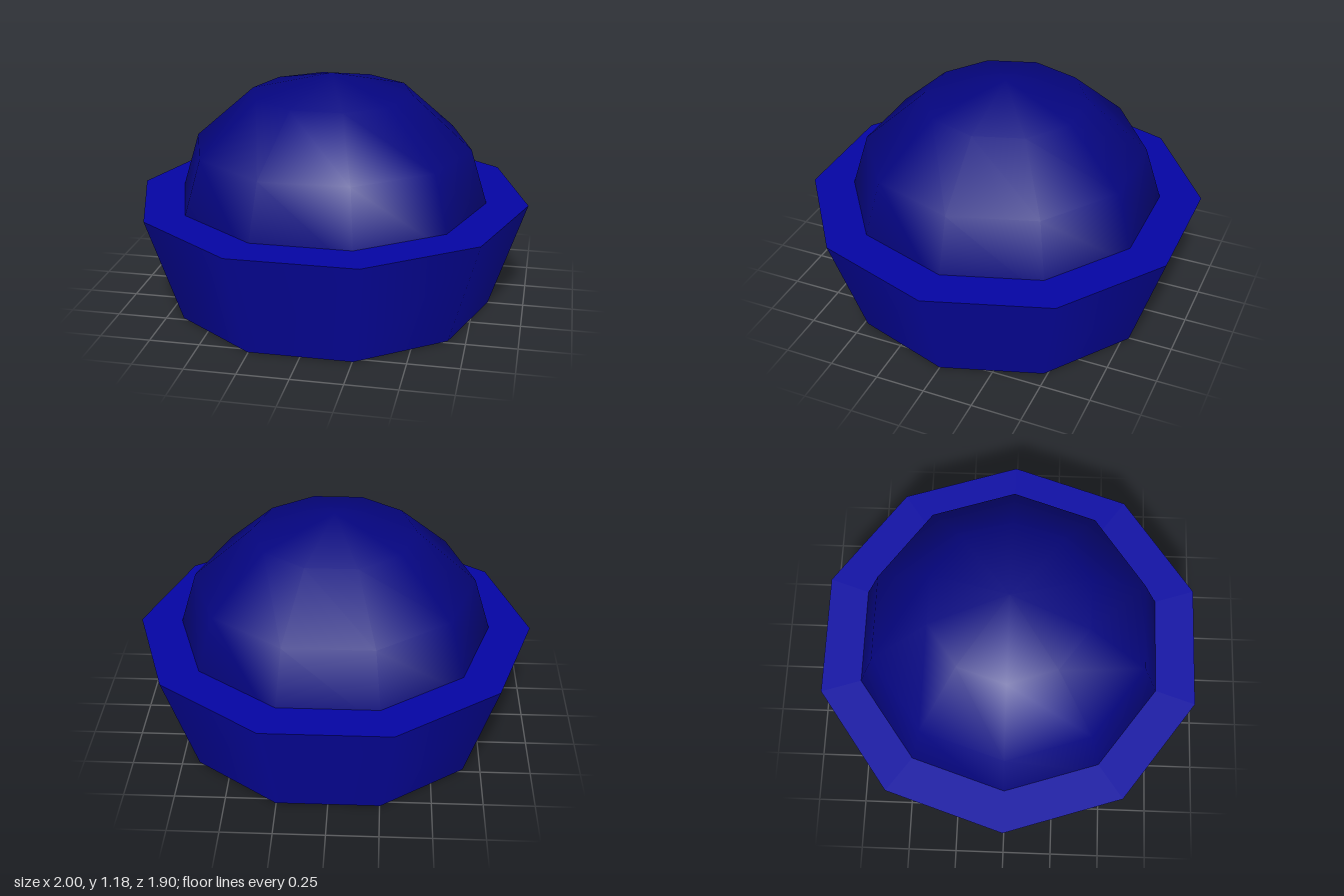
import * as THREE from 'three';

const SIDES = 10;
const BASE_HEIGHT = 0.545;

export function createModel() {
  const model = new THREE.Group();
  const baseBlue = new THREE.MeshStandardMaterial({ color: 0x0505a4 });
  baseBlue.name = 'base blue';
  const domeBlue = new THREE.MeshStandardMaterial({ color: 0x050580 });
  domeBlue.name = 'dome blue';

  // Flared ten-sided base, turned so that corners lie on the x axis
  const baseGeometry = new THREE.CylinderGeometry(1, 0.82, BASE_HEIGHT, SIDES);
  baseGeometry.rotateY(Math.PI / SIDES);
  const base = new THREE.Mesh(baseGeometry, baseBlue);
  base.name = 'base';
  base.position.y = BASE_HEIGHT / 2;
  model.add(base);

  // Flattened half dome, its rim sunk just below the top of the base
  const domeGeometry = new THREE.SphereGeometry(0.816, SIDES, 3, 0, Math.PI * 2, 0, Math.PI / 2);
  domeGeometry.scale(1, 0.72 / 0.816, 1);
  const dome = new THREE.Mesh(domeGeometry, domeBlue);
  dome.name = 'dome';
  dome.position.y = 0.46;
  model.add(dome);

  return model;
}
